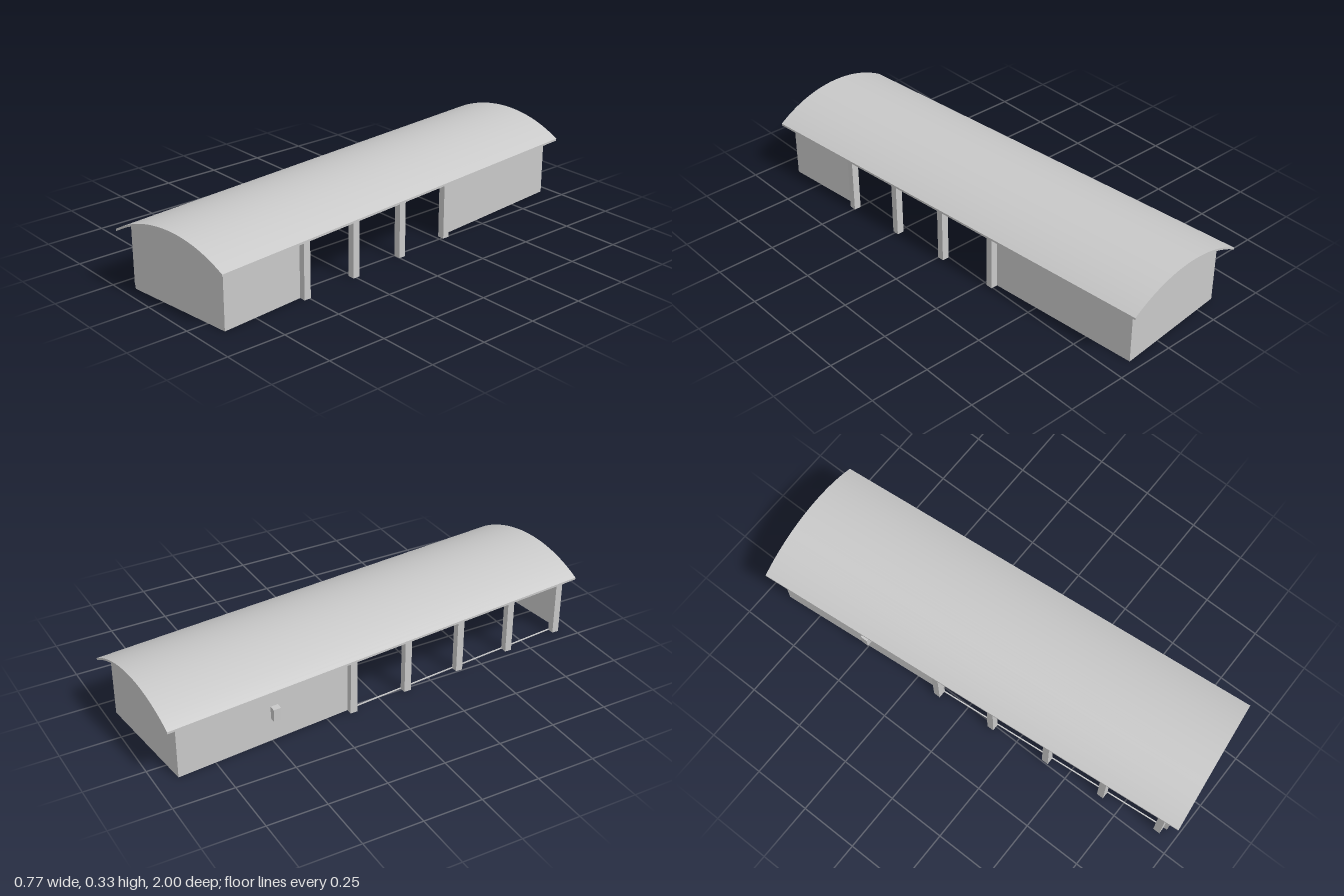
import * as THREE from 'three';
import { toCreasedNormals } from 'three/addons/utils/BufferGeometryUtils.js';

const TURN = 0.0951;       // the hall stands slightly turned
const HALF = 0.254;        // half width of the hall, outside of walls
const WALL = 0.005;        // wall thickness
const EAVE = 0.294;        // half width of the roof
const PEAK = 0.333, RADIUS = 0.562, ROOF = 0.009;
const CEILING = 0.25;

// height of the vaulted roof top at a distance u from the ridge
const roofY = (u) => PEAK - RADIUS + Math.sqrt(RADIUS * RADIUS - u * u);

// points along the vault from u0 to u1, lowered by drop
function vault(u0, u1, drop, n = 40) {
  return Array.from({ length: n + 1 }, (_, i) => {
    const u = u0 + (u1 - u0) * i / n;
    return new THREE.Vector2(u, roofY(u) - drop);
  });
}

// extrude a cross-section between two (slightly slanted) ends
function between(points, back, front) {
  const geo = new THREE.ExtrudeGeometry(new THREE.Shape(points), { depth: 1, bevelEnabled: false });
  const p = geo.attributes.position;
  for (let i = 0; i < p.count; i++) {
    const u = p.getX(i), t = p.getZ(i);
    p.setZ(i, back(u) * (1 - t) + front(u) * t);
  }
  return toCreasedNormals(geo, 0.5);
}

export function createModel() {
  const hall = new THREE.Group();
  hall.name = 'hall';
  const grey = new THREE.MeshStandardMaterial({ color: 0xc8c8c8 });
  grey.name = 'light grey';

  const add = (name, geo) => {
    const mesh = new THREE.Mesh(geo, grey);
    mesh.name = name;
    hall.add(mesh);
    return mesh;
  };
  // box given by its extents
  const box = (name, x0, x1, y0, y1, z0, z1) => {
    const mesh = add(name, new THREE.BoxGeometry(Math.abs(x1 - x0), y1 - y0, z1 - z0));
    mesh.position.set((x0 + x1) / 2, (y0 + y1) / 2, (z0 + z1) / 2);
  };
  // square upright block that keeps facing straight ahead
  const squareBlock = (name, x, z, y0, y1, size) => {
    const mesh = add(name, new THREE.BoxGeometry(size, y1 - y0, size));
    mesh.position.set(x, (y0 + y1) / 2, z);
    mesh.rotation.y = -TURN;
  };

  // vaulted roof with overhang on all sides
  add('roof', between(
    [...vault(-EAVE, EAVE, 0), ...vault(EAVE, -EAVE, ROOF)],
    (u) => -0.982 + 0.018 * u, (u) => 0.969 - 0.025 * u));

  // arched end walls
  const gable = [new THREE.Vector2(-HALF, 0), new THREE.Vector2(HALF, 0), ...vault(HALF, -HALF, ROOF)];
  const frontEnd = (u) => 0.929 - 0.012 * u;
  add('frontWall', between(gable, (u) => frontEnd(u) - WALL, frontEnd));
  add('backWall', between(gable, () => -0.937, () => -0.937 + WALL));

  // flat ceiling inside
  const inside = HALF - WALL;
  box('ceiling', -inside, inside, CEILING, CEILING + 0.004, -0.934, 0.922);

  // long sides: solid wall runs, open bays with lintel, and posts outside
  const sides = [
    { name: 'left', s: 1, walls: [[-0.934, -0.254], [0.54, 0.923]], bays: [-0.254, 0.54],
      posts: [-0.256, 0.012, 0.275, 0.5385] },
    { name: 'right', s: -1, walls: [[-0.934, -0.145], [0.898, 0.929]], bays: [-0.145, 0.898],
      posts: [-0.162, 0.103, 0.369, 0.634, 0.9] },
  ];
  for (const { name, s, walls, bays, posts } of sides) {
    const outer = s * HALF, inner = s * inside;
    for (const [z0, z1] of walls) box(name + 'Wall', inner, outer, 0, 0.262, z0, z1);
    box(name + 'Lintel', inner, outer, 0.219, 0.262, bays[0], bays[1]);
    for (const z of posts) squareBlock(name + 'Post', s * 0.267, z, 0, 0.25, 0.03);
  }

  // low sill under the open bays and small wall cabinet
  box('sill', -HALF, -inside, 0, 0.004, -0.145, 0.898);
  squareBlock('wallCabinet', -0.266, -0.515, 0.103, 0.157, 0.032);

  hall.rotation.y = TURN;
  const root = new THREE.Group();
  root.name = 'building';
  root.add(hall);
  return root;
}
